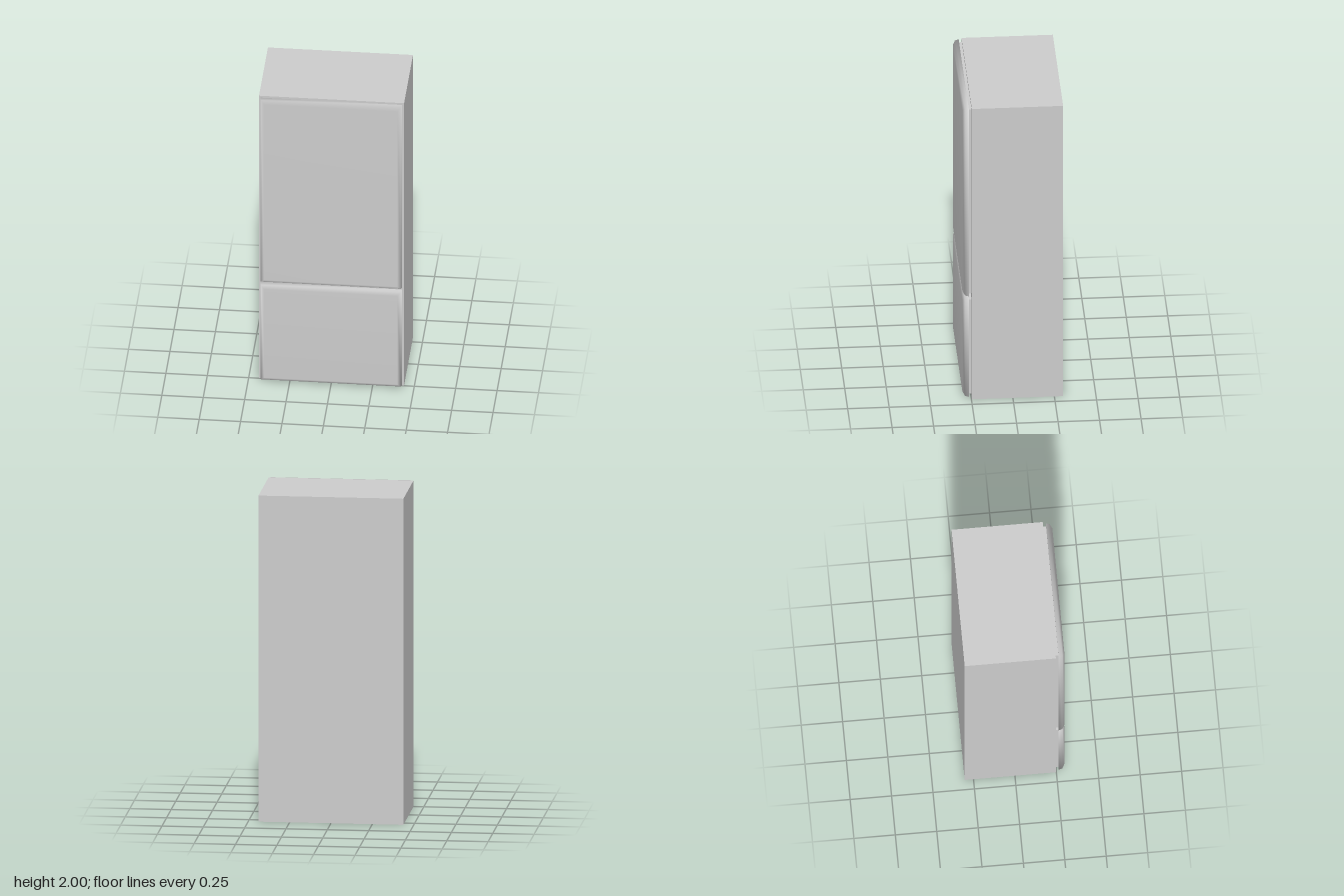
import * as THREE from 'three';

const material = new THREE.MeshStandardMaterial({ color: 0xcccccc });

function box(name, x0, x1, y0, y1, z0, z1) {
  const mesh = new THREE.Mesh(new THREE.BoxGeometry(x1 - x0, y1 - y0, z1 - z0), material);
  mesh.position.set((x0 + x1) / 2, (y0 + y1) / 2, (z0 + z1) / 2);
  mesh.name = name;
  return mesh;
}

// Door panel: rectangular rings stepping inward towards the front, softly shaded
function doorPanel(name, halfWidth, y0, y1) {
  const rings = [[0.265, 0], [0.265, 0], [0.288, 0.005], [0.302, 0.026]]; // z, inset; first ring is the flat back
  const positions = [], index = [];
  for (const [z, inset] of rings) {
    const w = halfWidth - inset, b = y0 + inset, t = y1 - inset;
    positions.push(-w, b, z, w, b, z, w, t, z, -w, t, z);
  }
  index.push(0, 3, 1, 1, 3, 2); // back
  for (let k = 1; k < rings.length - 1; k++) {
    for (let i = 0; i < 4; i++) {
      const a = k * 4 + i, b = k * 4 + (i + 1) % 4;
      index.push(a, b, b + 4, a, b + 4, a + 4);
    }
  }
  const f = (rings.length - 1) * 4;
  index.push(f, f + 1, f + 3, f + 1, f + 2, f + 3); // front
  const geometry = new THREE.BufferGeometry();
  geometry.setAttribute('position', new THREE.Float32BufferAttribute(positions, 3));
  geometry.setIndex(index);
  geometry.computeVertexNormals();
  const mesh = new THREE.Mesh(geometry, material);
  mesh.name = name;
  return mesh;
}

export function createModel() {
  const model = new THREE.Group();
  model.name = 'refrigerator';
  model.add(box('cabinet', -0.438, 0.438, 0, 2, -0.303, 0.247));

  // Each door is a panel with a narrower seal behind it
  for (const [name, y0, y1] of [['freezerDoor', 0.012, 0.69], ['fridgeDoor', 0.704, 1.998]]) {
    const door = new THREE.Group();
    door.name = name;
    door.add(doorPanel(name + 'Panel', 0.428, y0, y1));
    door.add(box(name + 'Seal', -0.415, 0.415, y0 + 0.014, y1 - 0.014, 0.247, 0.265));
    model.add(door);
  }
  return model;
}
